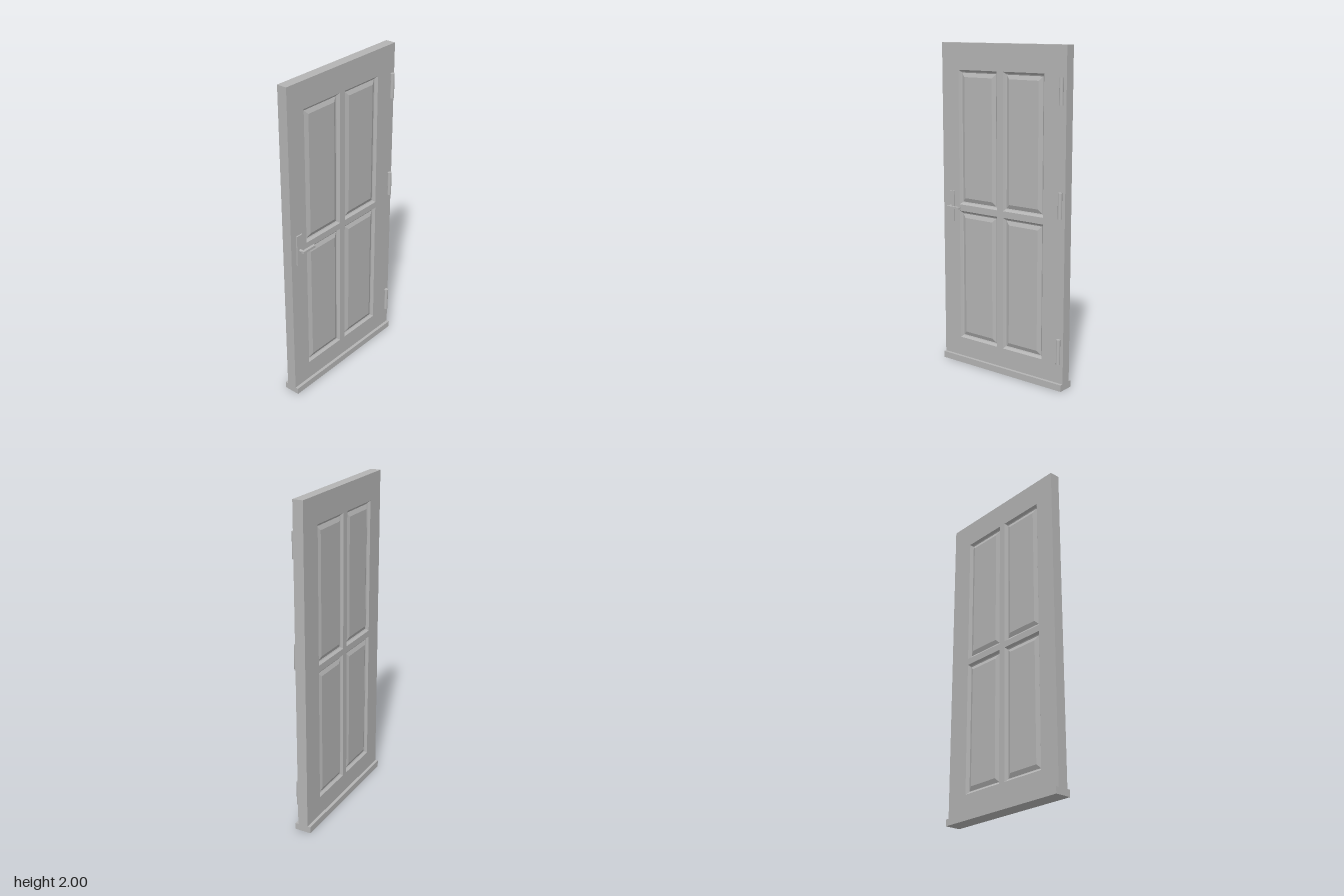
import * as THREE from 'three';

const paint = new THREE.MeshStandardMaterial({ color: 0xb4b4b4 });
paint.name = 'plain grey';

const W = 0.458, H = 2, FRONT = 0.018, BACK = -0.045, SILL = 0.04;
const PANEL_W = 0.295, PANEL_H = 0.82;

// Fielded panel face: nested rectangles [inset, depth] joined by flat strips, closed by the centre field
function panelGeometry(w, h) {
  const rings = [[0, 0], [0.011, -0.013], [0.017, -0.016], [0.042, -0.005]].map(([inset, z]) => {
    const x = w / 2 - inset, y = h / 2 - inset;
    return [[-x, -y, z], [x, -y, z], [x, y, z], [-x, y, z]];
  });
  const pos = [];
  const quad = (a, b, c, d) => pos.push(...a, ...b, ...c, ...a, ...c, ...d);
  for (let r = 0; r < rings.length - 1; r++) {
    const o = rings[r], i = rings[r + 1];
    for (let k = 0; k < 4; k++) {
      const n = (k + 1) % 4;
      quad(o[k], o[n], i[n], i[k]);
    }
  }
  quad(...rings[rings.length - 1]);
  const geo = new THREE.BufferGeometry();
  geo.setAttribute('position', new THREE.Float32BufferAttribute(pos, 3));
  geo.computeVertexNormals();
  return geo;
}

export function createModel() {
  const door = new THREE.Group();
  door.name = 'door';

  const add = (name, geo, x, y, z, parent = door) => {
    const mesh = new THREE.Mesh(geo, paint);
    mesh.name = name;
    mesh.position.set(x, y, z);
    parent.add(mesh);
    return mesh;
  };

  // Stiles and rails: one slab with four openings
  const slab = new THREE.Shape();
  slab.moveTo(-W, SILL).lineTo(W, SILL).lineTo(W, H).lineTo(-W, H).closePath();
  const centres = [];
  for (const x of [-0.182, 0.158]) for (const y of [0.57, 1.43]) centres.push([x, y]);
  for (const [x, y] of centres) {
    const a = PANEL_W / 2, b = PANEL_H / 2;
    const hole = new THREE.Path();
    hole.moveTo(x - a, y - b).lineTo(x - a, y + b).lineTo(x + a, y + b).lineTo(x + a, y - b).closePath();
    slab.holes.push(hole);
  }
  add('doorFrame', new THREE.ExtrudeGeometry(slab, { depth: FRONT - BACK, bevelEnabled: false }), 0, 0, BACK);

  // Raised panels on both faces
  const panel = panelGeometry(PANEL_W, PANEL_H);
  for (const [x, y] of centres) {
    add('frontPanel', panel, x, y, FRONT);
    add('backPanel', panel, x, y, BACK).rotation.y = Math.PI;
  }

  // Threshold
  add('sill', new THREE.BoxGeometry(2 * W, SILL, 0.101), 0, SILL / 2, -0.0135);

  // Hinge barrels
  for (const y of [0.237, 1.105, 1.748]) {
    add('hinge', new THREE.CylinderGeometry(0.0125, 0.0125, 0.152, 24), 0.43, y, 0.028);
  }

  // Lever handle with backplate
  const handle = new THREE.Group();
  handle.name = 'handle';
  door.add(handle);
  add('handlePlate', new THREE.BoxGeometry(0.047, 0.19, 0.008), -0.393, 1.005, 0.022, handle);
  add('handleStem', new THREE.CylinderGeometry(0.009, 0.009, 0.03, 20), -0.393, 1.002, 0.037, handle).rotation.x = Math.PI / 2;
  add('handleLever', new THREE.BoxGeometry(0.101, 0.014, 0.017), -0.3515, 1.002, 0.0535, handle);

  return door;
}
